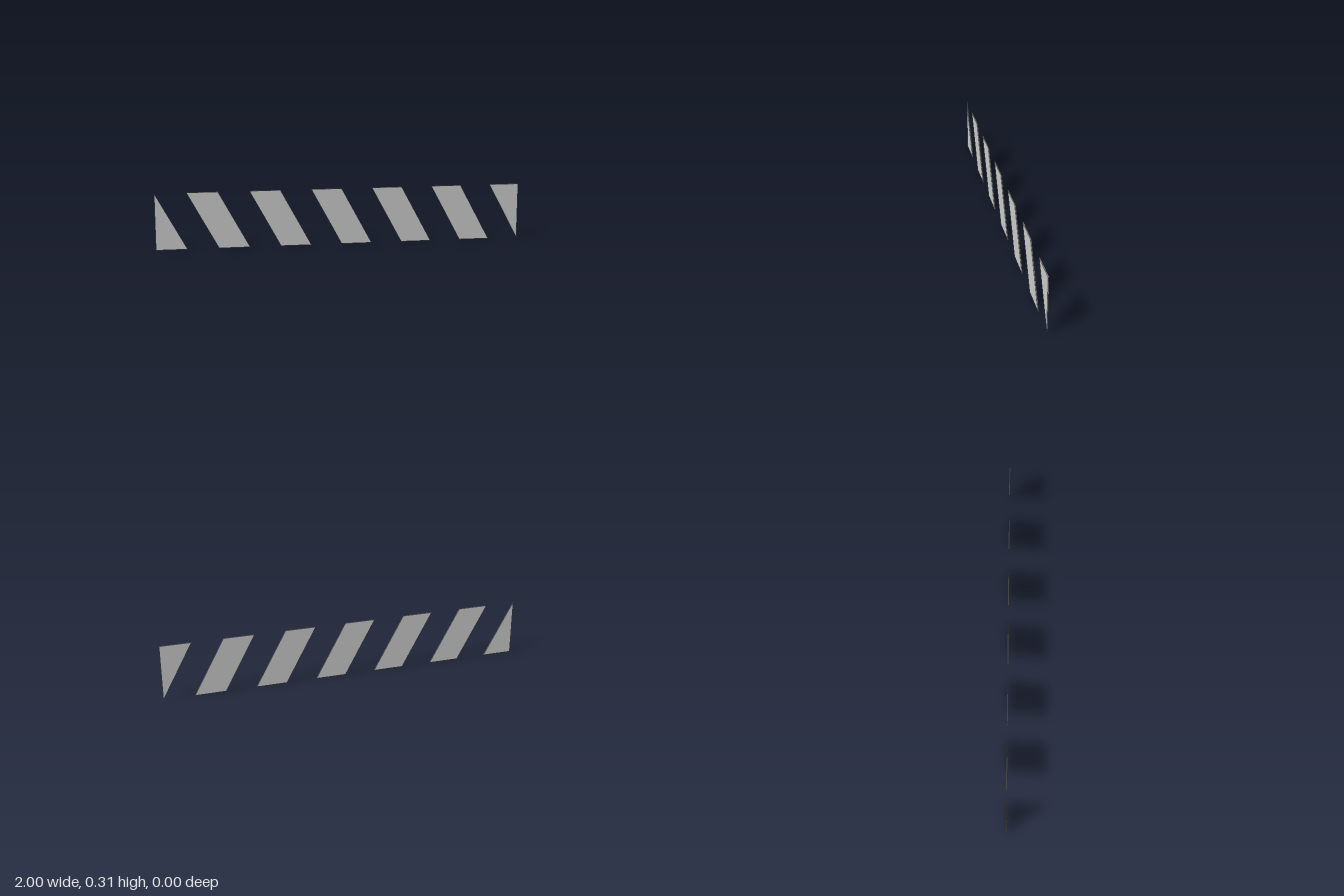
import * as THREE from 'three';

const HEIGHT = 0.306, DEPTH = 0.005, STEP = 1 / 6;

export function createModel() {
  const group = new THREE.Group();
  group.name = 'slantedStripes';
  const material = new THREE.MeshStandardMaterial({ color: 0xcccccc, flatShading: true });

  // Thin upright plate extruded from a front outline, centred on z = 0
  function addPlate(name, outline) {
    const shape = new THREE.Shape(outline.map(([x, y]) => new THREE.Vector2(x, y)));
    const geometry = new THREE.ExtrudeGeometry(shape, { depth: DEPTH, bevelEnabled: false });
    geometry.translate(0, 0, -DEPTH / 2);
    const mesh = new THREE.Mesh(geometry, material);
    mesh.name = name;
    group.add(mesh);
  }

  // Cut-off half stripes closing both ends of the band
  addPlate('rightEndStripe', [[-1, 0], [-1 + STEP, 0], [-1, HEIGHT]]);
  addPlate('leftEndStripe', [[1, 0], [1, HEIGHT], [1 - STEP, HEIGHT]]);

  // Five full slanted stripes, separated by equal gaps
  for (let i = 0; i < 5; i++) {
    const x = -1 + STEP * (1 + 2 * i);
    addPlate(`stripe${i + 1}`, [
      [x + STEP, 0], [x + 2 * STEP, 0], [x + STEP, HEIGHT], [x, HEIGHT],
    ]);
  }
  return group;
}
